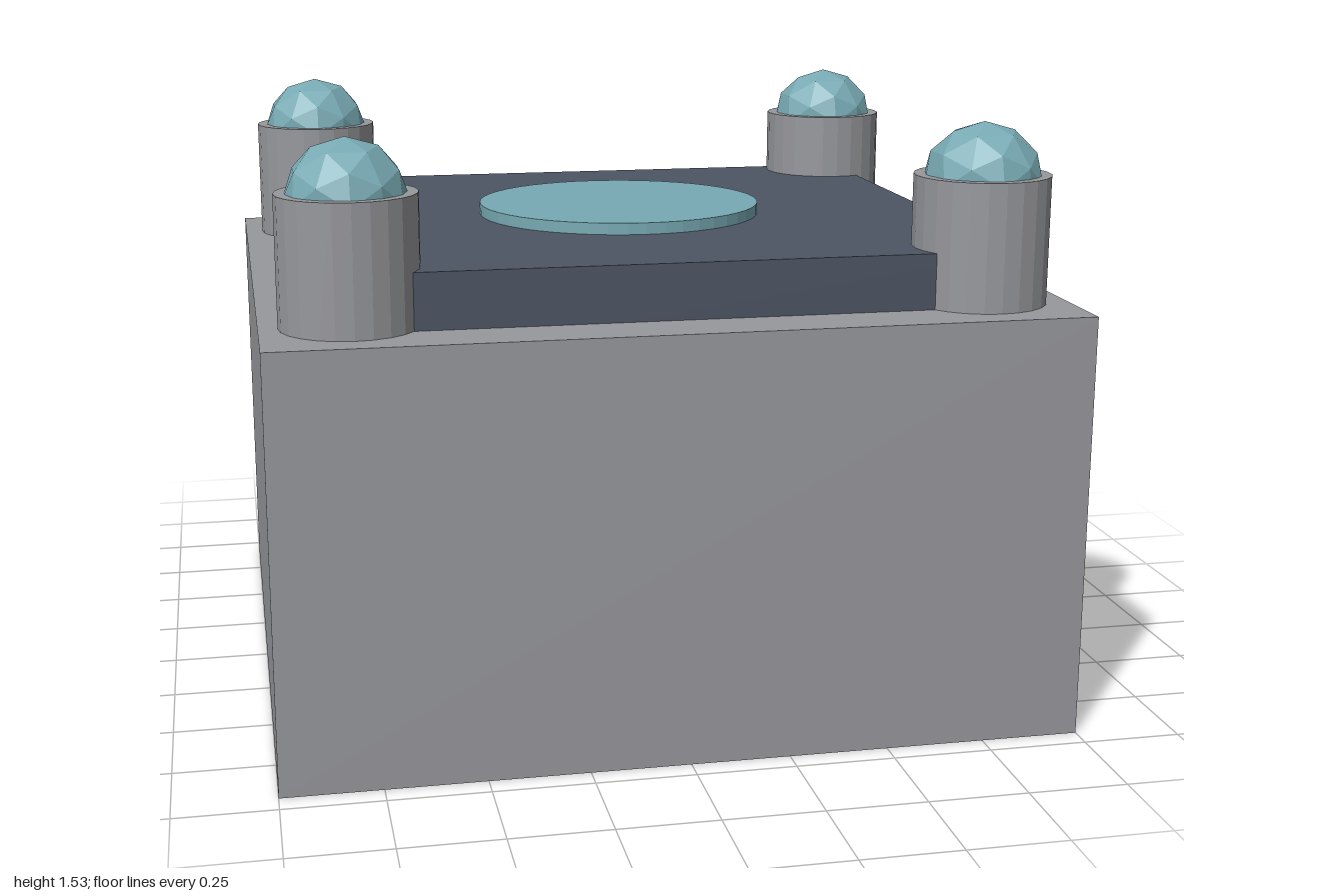
import * as THREE from 'three';

const material = (color) => new THREE.MeshStandardMaterial({ color, flatShading: true });

export function createModel() {
  const model = new THREE.Group();
  model.name = 'pedestal';

  const stone = material(0x97989c);
  const dark = material(0x4d5563);
  const teal = material(0x78aab4);

  const add = (name, geometry, mat, x, y, z, parent = model) => {
    const mesh = new THREE.Mesh(geometry, mat);
    mesh.name = name;
    mesh.position.set(x, y, z);
    parent.add(mesh);
    return mesh;
  };

  // Main block
  add('baseBlock', new THREE.BoxGeometry(2, 1.08, 1.88), stone, 0, 0.54, 0);

  // Dark slab, sunk into the block
  add('topSlab', new THREE.BoxGeometry(1.7, 0.24, 1.57), dark, 0, 1.1, 0);

  // Round plate in the middle of the slab
  add('centrePlate', new THREE.CylinderGeometry(0.38, 0.38, 0.06, 48), teal, 0, 1.22, 0);

  // Corner posts, each capped with a faceted gem
  const postGeometry = new THREE.CylinderGeometry(0.17, 0.17, 0.36, 24);
  const gemGeometry = new THREE.IcosahedronGeometry(0.15, 1);
  for (const [sx, side] of [[1, 'Left'], [-1, 'Right']]) {
    for (const [sz, end] of [[1, 'front'], [-1, 'back']]) {
      const corner = new THREE.Group();
      corner.name = `${end}${side}Corner`;
      corner.position.set(sx * 0.783, 0, sz * 0.695);
      add('post', postGeometry, stone, 0, 1.22, 0, corner);
      add('gem', gemGeometry, teal, 0, 1.38, 0, corner);
      model.add(corner);
    }
  }

  return model;
}
